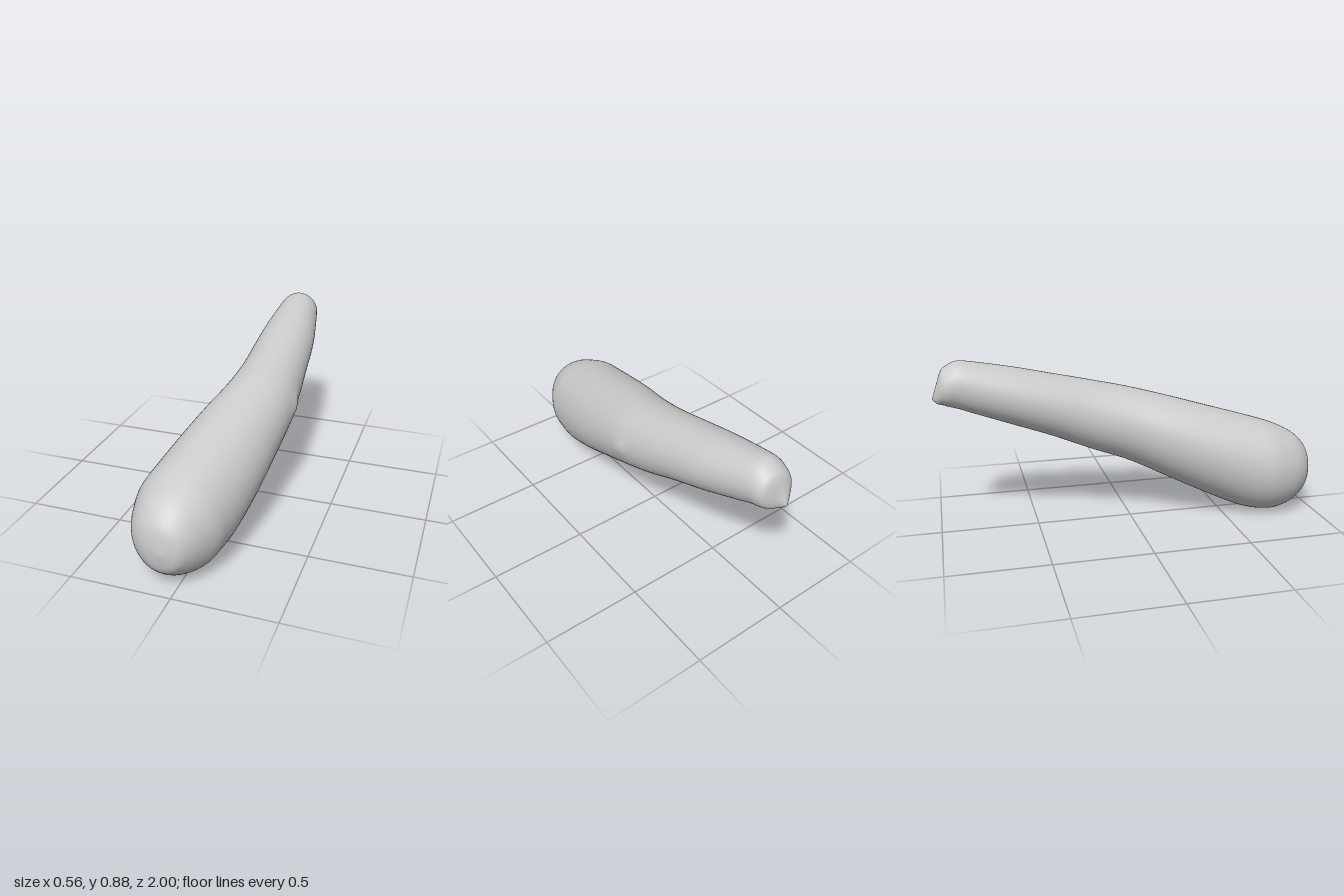
import * as THREE from 'three';
import { mergeVertices } from 'three/addons/utils/BufferGeometryUtils.js';

// Cross-sections from the thick front end to the thin back tip: z, xMin, xMax, yMin, yMax
const SECTIONS = [
  [1.0, -0.04, -0.04, 0.22, 0.22],
  [0.98, -0.125, 0.035, 0.13, 0.325],
  [0.94, -0.19, 0.08, 0.08, 0.385],
  [0.88, -0.235, 0.12, 0.035, 0.435],
  [0.8, -0.265, 0.16, 0.005, 0.475],
  [0.72, -0.28, 0.18, 0.003, 0.505],
  [0.6, -0.265, 0.205, 0.025, 0.54],
  [0.4, -0.225, 0.235, 0.11, 0.595],
  [0.2, -0.175, 0.255, 0.205, 0.65],
  [0.0, -0.12, 0.27, 0.3, 0.7],
  [-0.2, -0.09, 0.262, 0.375, 0.745],
  [-0.4, -0.08, 0.247, 0.46, 0.79],
  [-0.6, -0.07, 0.23, 0.535, 0.835],
  [-0.8, -0.05, 0.195, 0.61, 0.873],
  [-0.87, -0.04, 0.18, 0.637, 0.88],
  [-0.92, -0.03, 0.17, 0.652, 0.86],
  [-0.95, -0.015, 0.15, 0.663, 0.835],
  [-0.975, 0.015, 0.09, 0.672, 0.77],
  [-1.0, 0.052, 0.052, 0.695, 0.695],
];

const RINGS = 108;
const SIDES = 56;

// Smooth curve through one value pair per section
const curveOf = (pick) =>
  new THREE.CatmullRomCurve3(SECTIONS.map(pick), false, 'catmullrom', 0.5);

function loftBody() {
  const centres = curveOf(([z, x0, x1, y0, y1]) => new THREE.Vector3((x0 + x1) / 2, (y0 + y1) / 2, z));
  const radii = curveOf(([, x0, x1, y0, y1]) => new THREE.Vector3((x1 - x0) / 2, (y1 - y0) / 2, 0));
  const positions = [];
  const index = [];
  for (let i = 0; i <= RINGS; i++) {
    const c = centres.getPoint(i / RINGS);
    const r = radii.getPoint(i / RINGS);
    for (let j = 0; j < SIDES; j++) {
      const a = (j / SIDES) * Math.PI * 2;
      const x = c.x + r.x * Math.cos(a);
      const y = c.y + r.y * Math.sin(a);
      // Small blunt knob on the left flank
      const knob = 0.012 * Math.exp(-(((c.z + 0.06) / 0.05) ** 2) - (Math.sin(a / 2) / 0.12) ** 2);
      positions.push(x + knob, y, c.z);
      if (i < RINGS) {
        const k = (j + 1) % SIDES;
        const p = i * SIDES;
        const q = p + SIDES;
        if (i < RINGS - 1) index.push(p + j, q + j, q + k);
        if (i > 0) index.push(p + j, q + k, p + k);
        if (i === RINGS - 1) index.push(p + j, q + j, p + k), index.splice(-6, 3);
      }
    }
  }
  let geometry = new THREE.BufferGeometry();
  geometry.setAttribute('position', new THREE.Float32BufferAttribute(positions, 3));
  geometry.setIndex(index);
  geometry = mergeVertices(geometry, 1e-5); // closes both poles
  geometry.computeVertexNormals();
  return geometry;
}

export function createModel() {
  const group = new THREE.Group();
  group.name = 'taperedClub';
  const body = new THREE.Mesh(loftBody(), new THREE.MeshStandardMaterial({ color: 0xcccccc }));
  body.name = 'body';
  group.add(body);
  return group;
}
